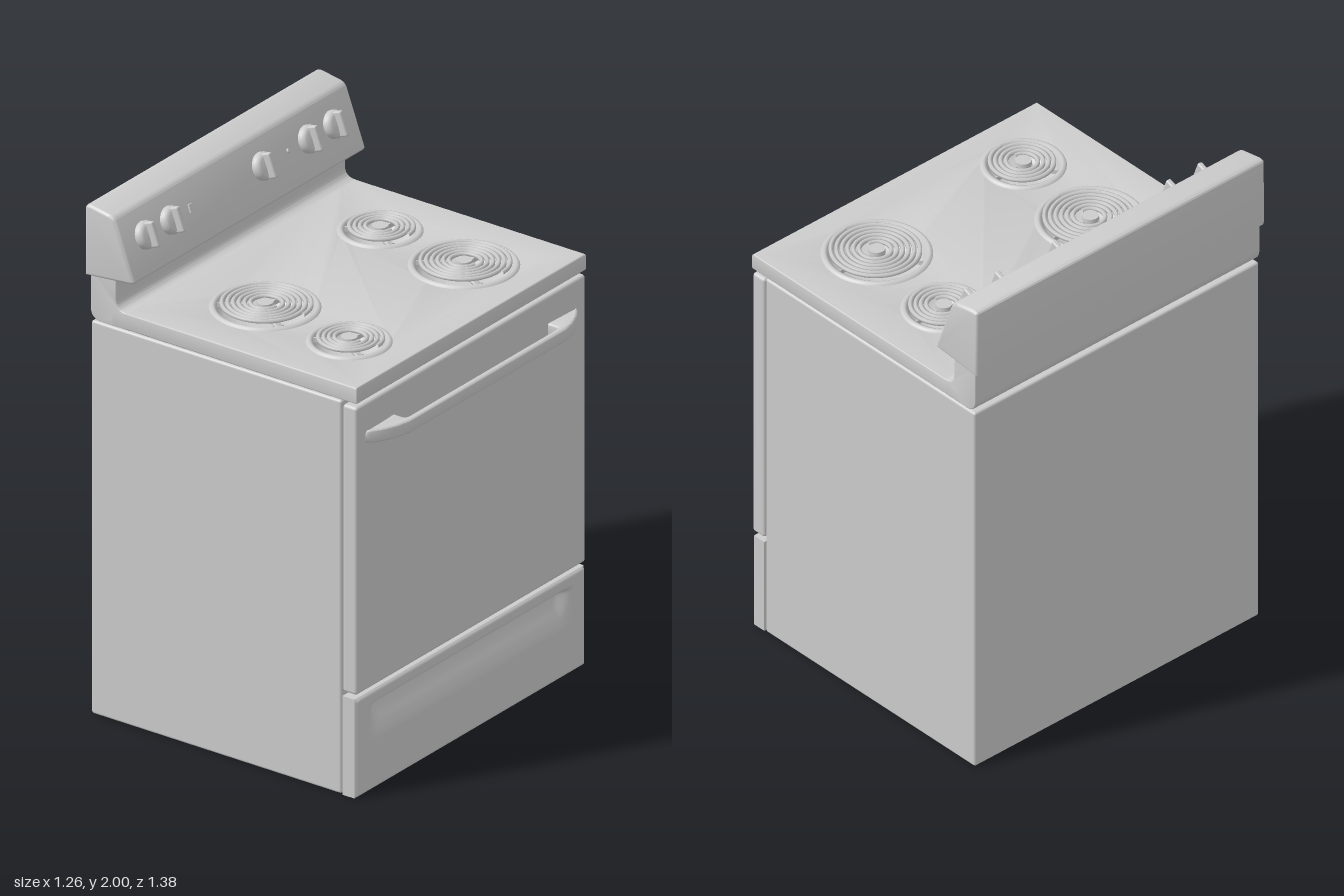
import * as THREE from 'three';
import { toCreasedNormals } from 'three/addons/utils/BufferGeometryUtils.js';
import { RoundedBoxGeometry } from 'three/addons/geometries/RoundedBoxGeometry.js';

const material = new THREE.MeshStandardMaterial({ color: 0xcccccc });
const thinMaterial = new THREE.MeshStandardMaterial({ color: 0xcccccc, side: THREE.DoubleSide });

function add(parent, name, geometry, x = 0, y = 0, z = 0, mat = material) {
  const mesh = new THREE.Mesh(geometry, mat);
  mesh.name = name;
  mesh.position.set(x, y, z);
  parent.add(mesh);
  return mesh;
}

// Rounded box given by its lower and upper limits, symmetric in z
function block(parent, name, x0, x1, y0, y1, halfZ, r) {
  const g = new RoundedBoxGeometry(x1 - x0, y1 - y0, halfZ * 2, 3, r);
  return add(parent, name, g, (x0 + x1) / 2, (y0 + y1) / 2);
}

// Extrusion centred on its own depth, bevelled inside the outline
function slab(shape, depth, bevel) {
  const g = new THREE.ExtrudeGeometry(shape, {
    depth: depth - bevel * 2, bevelThickness: bevel, bevelSize: bevel,
    bevelOffset: -bevel, bevelSegments: 3, curveSegments: 32,
  });
  g.translate(0, 0, bevel - depth / 2);
  return toCreasedNormals(g, 0.6);
}

// Drawer front with a scooped finger pull and eased edges
function drawerGeometry(w, h, d) {
  const g = new THREE.BoxGeometry(w, h, d, 1, 78, 120);
  const p = g.attributes.position;
  const step = THREE.MathUtils.smoothstep;
  for (let i = 0; i < p.count; i++) {
    if (p.getX(i) < 0) continue;
    const y = p.getY(i) + h / 2, z = Math.abs(p.getZ(i));
    const ends = 1 - step(z, 0.53, 0.61);
    const scoop = y > 0.32 ? 1 - step(y, 0.32, 0.345) : step(y, 0.19, 0.325);
    const edge = Math.min(y, h - y, d / 2 - z);
    const ease = Math.max(0, 1 - edge / 0.012) ** 2;
    p.setX(i, w / 2 - 0.042 * ends * scoop - 0.01 * ease);
  }
  g.computeVertexNormals();
  return g;
}

// Bar handle with swept ends, drawn in plan (x, z) and laid flat
function handleGeometry() {
  const s = new THREE.Shape();
  s.moveTo(0.55, -0.635);
  s.quadraticCurveTo(0.618, -0.56, 0.63, -0.46);
  s.lineTo(0.63, 0.46);
  s.quadraticCurveTo(0.618, 0.56, 0.55, 0.635);
  s.lineTo(0.55, 0.455);
  s.lineTo(0.59, 0.455);
  s.quadraticCurveTo(0.605, 0.455, 0.605, 0.435);
  s.lineTo(0.605, -0.435);
  s.quadraticCurveTo(0.605, -0.455, 0.59, -0.455);
  s.lineTo(0.55, -0.455);
  s.closePath();
  const g = slab(s, 0.052, 0.008);
  const p = g.attributes.position;
  for (let i = 0; i < p.count; i++) {
    const t = THREE.MathUtils.clamp((Math.abs(p.getY(i)) - 0.605) / 0.03, 0, 0.95);
    p.setZ(i, p.getZ(i) * Math.sqrt(1 - t * t));
  }
  g.rotateX(Math.PI / 2);
  return toCreasedNormals(g, 0.6);
}

// Spiral heating coil with radii from r0 to r1
function coilGeometry(r0, r1, turns) {
  const points = [];
  const n = turns * 20;
  for (let i = 0; i <= n; i++) {
    const a = (i / 20) * Math.PI * 2, r = r0 + (r1 - r0) * i / n;
    points.push(new THREE.Vector3(Math.cos(a) * r, 0, Math.sin(a) * r));
  }
  return new THREE.TubeGeometry(new THREE.CatmullRomCurve3(points), turns * 48, 0.0085, 6);
}

const burners = [
  { x: -0.142, z: -0.398, r: 0.155, turns: 4 },
  { x: 0.263, z: -0.35, r: 0.2, turns: 6 },
  { x: -0.098, z: 0.343, r: 0.2, turns: 6 },
  { x: 0.307, z: 0.39, r: 0.155, turns: 4 },
];

function makeBurner({ x, z, r, turns }) {
  const burner = new THREE.Group();
  burner.name = 'burner';
  burner.position.set(x, 1.615, z);
  const coilR = r - 0.028;
  // Drip pan with raised rim
  const pan = [[0.025, -0.073], [r * 0.45, -0.068], [r * 0.75, -0.05], [r - 0.03, -0.015],
    [r - 0.025, 0.005], [r - 0.015, 0.01], [r - 0.005, 0.007], [r, -0.001]];
  add(burner, 'dripPan', new THREE.LatheGeometry(pan.map(q => new THREE.Vector2(...q)), 48), 0, 0, 0, thinMaterial);
  add(burner, 'coil', coilGeometry(0.045, coilR - 0.006, turns), 0, 0.015, 0);
  add(burner, 'centreCap', new THREE.CylinderGeometry(0.03, 0.032, 0.018, 24), 0, 0.013, 0);
  // Support arms and the terminal rod below the coil
  for (let i = 0; i < 3; i++) {
    const a = 0.55 + i * Math.PI * 2 / 3;
    const arm = add(burner, 'supportArm', new THREE.BoxGeometry(coilR, 0.018, 0.006),
      Math.cos(a) * coilR / 2, -0.002, Math.sin(a) * coilR / 2);
    arm.rotation.y = -a;
  }
  const rod = add(burner, 'terminalRod', new THREE.CylinderGeometry(0.007, 0.007, coilR, 8), coilR * 0.4, -0.008, coilR * 0.36);
  rod.rotation.set(0, -0.55, Math.PI / 2);
  return burner;
}

function makeKnob() {
  const knob = new THREE.Group();
  knob.name = 'knob';
  const profile = [[0.052, -0.004], [0.052, 0.014], [0.047, 0.024], [0.036, 0.03], [0, 0.032]];
  const cap = new THREE.LatheGeometry(profile.map(q => new THREE.Vector2(...q)), 32);
  add(knob, 'knobBase', cap);
  add(knob, 'knobGrip', new RoundedBoxGeometry(0.096, 0.05, 0.022, 2, 0.007), 0, 0.032, 0);
  return knob;
}

export function createModel() {
  const stove = new THREE.Group();
  stove.name = 'stove';

  block(stove, 'body', -0.615, 0.487, 0, 1.545, 0.68, 0.01);
  block(stove, 'ovenDoor', 0.492, 0.555, 0.405, 1.535, 0.68, 0.012);
  add(stove, 'drawer', drawerGeometry(0.063, 0.388, 1.36), 0.5235, 0.194, 0);
  add(stove, 'doorHandle', handleGeometry(), 0, 1.402, 0);

  // Cooktop slab pierced for the burners
  const top = new THREE.Shape();
  top.moveTo(-0.52, -0.68);
  top.lineTo(0.555, -0.68);
  top.lineTo(0.555, 0.68);
  top.lineTo(-0.52, 0.68);
  top.closePath();
  for (const b of burners) {
    top.holes.push(new THREE.Path().absarc(b.x, b.z, b.r - 0.022, 0, Math.PI * 2, true));
  }
  const topGeometry = slab(top, 0.065, 0.006).rotateX(Math.PI / 2);
  add(stove, 'cooktop', topGeometry, 0, 1.5825, 0);
  burners.forEach(b => stove.add(makeBurner(b)));

  // Riser sweeping up from the back of the cooktop
  const riser = new THREE.Shape();
  riser.moveTo(-0.57, 1.55);
  riser.lineTo(-0.46, 1.55);
  riser.lineTo(-0.46, 1.615);
  riser.quadraticCurveTo(-0.505, 1.615, -0.505, 1.66);
  riser.lineTo(-0.505, 1.75);
  riser.lineTo(-0.618, 1.75);
  riser.lineTo(-0.618, 1.6);
  riser.quadraticCurveTo(-0.618, 1.55, -0.57, 1.55);
  add(stove, 'riser', slab(riser, 1.36, 0.004));

  // Control panel with a slanted face
  const panel = new THREE.Shape();
  panel.moveTo(-0.635, 1.72);
  panel.lineTo(-0.435, 1.738);
  panel.quadraticCurveTo(-0.418, 1.74, -0.424, 1.757);
  panel.lineTo(-0.5, 1.962);
  panel.quadraticCurveTo(-0.508, 1.982, -0.53, 1.986);
  panel.lineTo(-0.61, 2);
  panel.quadraticCurveTo(-0.635, 2, -0.635, 1.985);
  panel.closePath();
  add(stove, 'controlPanel', slab(panel, 1.38, 0.012));

  // Controls, laid out in the plane of the slanted face
  const controls = new THREE.Group();
  controls.name = 'controls';
  controls.position.set(-0.468, 1.876, 0);
  controls.rotation.z = Math.atan2(0.076, 0.205) - Math.PI / 2;
  for (const z of [0.561, 0.411, -0.134, -0.407, -0.556]) {
    const knob = makeKnob();
    knob.position.z = z;
    controls.add(knob);
  }
  add(controls, 'indicatorWindow', new THREE.BoxGeometry(0.03, 0.01, 0.018), 0, 0.002, 0.29);
  add(controls, 'indicatorLight', new THREE.CylinderGeometry(0.008, 0.008, 0.012, 16), 0, 0.002, -0.29);
  stove.add(controls);

  return stove;
}
